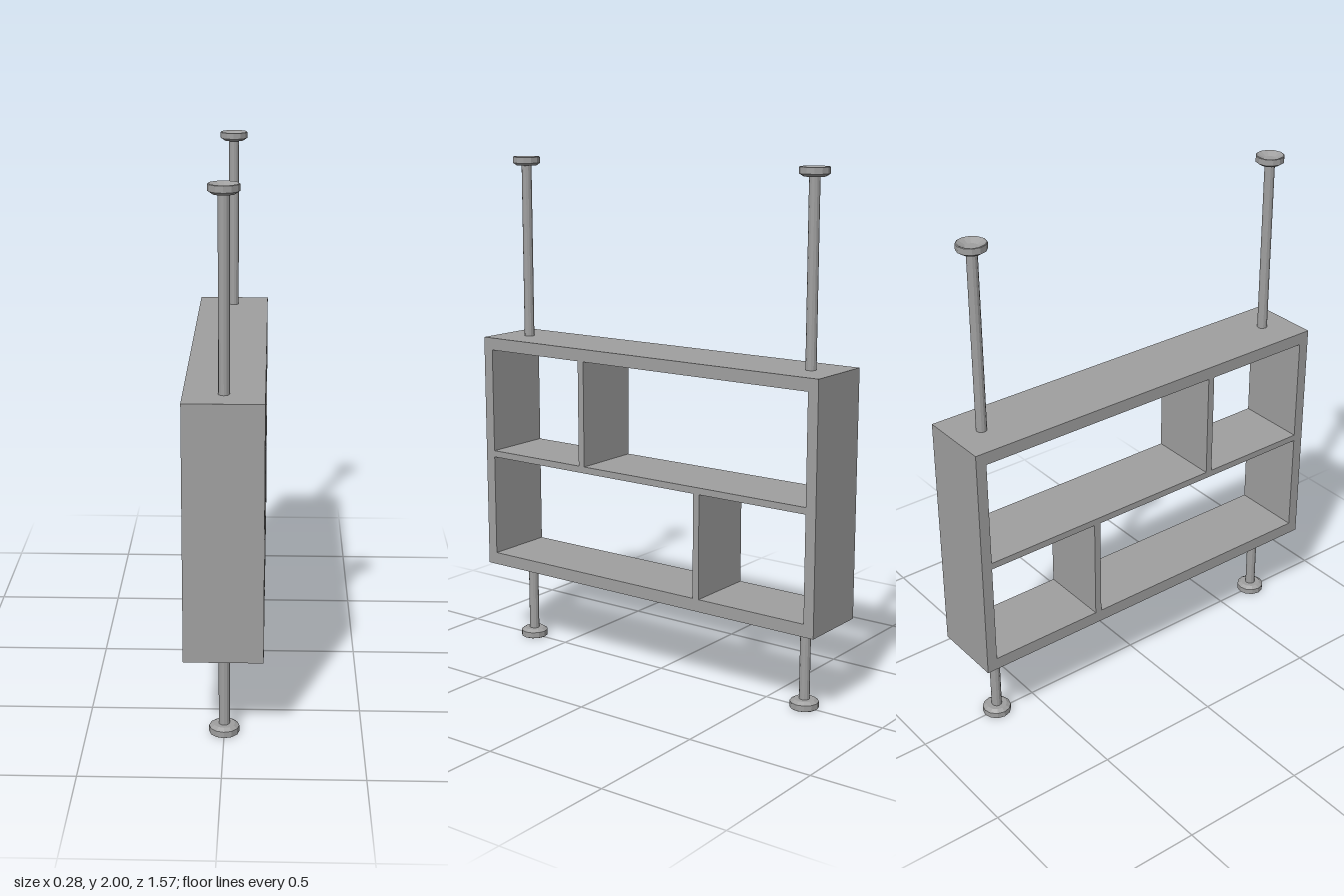
import * as THREE from 'three';

export function createModel() {
  const model = new THREE.Group();
  const grey = new THREE.MeshStandardMaterial({ color: 0xa0a0a0, flatShading: true });
  grey.name = 'grey';

  const W = 0.284, HALF = 0.786, BOTTOM = 0.332, TOP = 1.281;
  const SIDE = 0.042, SLAB = 0.049, POLE_Z = 0.668, SEGMENTS = 12;

  const add = (name, geometry, parent = model) => {
    const mesh = new THREE.Mesh(geometry, grey);
    mesh.name = name;
    parent.add(mesh);
    return mesh;
  };

  // Board spanning y0..y1 and z0..z1 over the full depth of the case
  const board = (name, y0, y1, z0, z1) =>
    add(name, new THREE.BoxGeometry(W, y1 - y0, z1 - z0))
      .position.set(0, (y0 + y1) / 2, (z0 + z1) / 2);

  // Open frame, shelf and offset dividers
  const inner = HALF - SIDE;
  board('topBoard', TOP - SLAB, TOP, -inner, inner);
  board('bottomBoard', BOTTOM, BOTTOM + SLAB, -inner, inner);
  board('frontSide', BOTTOM, TOP, inner, HALF);
  board('backSide', BOTTOM, TOP, -HALF, -inner);
  board('shelf', 0.789, 0.815, -inner, inner);
  board('upperDivider', 0.815, TOP - SLAB, 0.27, 0.297);
  board('lowerDivider', BOTTOM + SLAB, 0.789, -0.281, -0.254);

  // Round pad with a bevelled neck and a hollow outer face, facing up
  const padGeometry = new THREE.LatheGeometry([
    [0.02, -0.035], [0.04, -0.035], [0.055, -0.025], [0.055, -0.002],
    [0.052, 0], [0.024, -0.014], [0, -0.014],
  ].map(([r, y]) => new THREE.Vector2(r, y)), SEGMENTS);

  // Poles run from the case to the ceiling and the floor
  const pole = (name, y0, y1, z, parent) =>
    add(name, new THREE.CylinderGeometry(0.02, 0.02, y1 - y0, SEGMENTS), parent)
      .position.set(0, (y0 + y1) / 2, z);

  for (const [label, z] of [['front', POLE_Z], ['back', -POLE_Z]]) {
    const support = new THREE.Group();
    support.name = label + 'Support';
    model.add(support);
    pole('upperPole', TOP, 1.975, z, support);
    pole('lowerPole', 0.025, BOTTOM, z, support);
    add('ceilingPad', padGeometry, support).position.set(0, 2, z);
    const foot = add('floorPad', padGeometry, support);
    foot.position.set(0, 0, z);
    foot.rotation.x = Math.PI;
  }
  return model;
}
